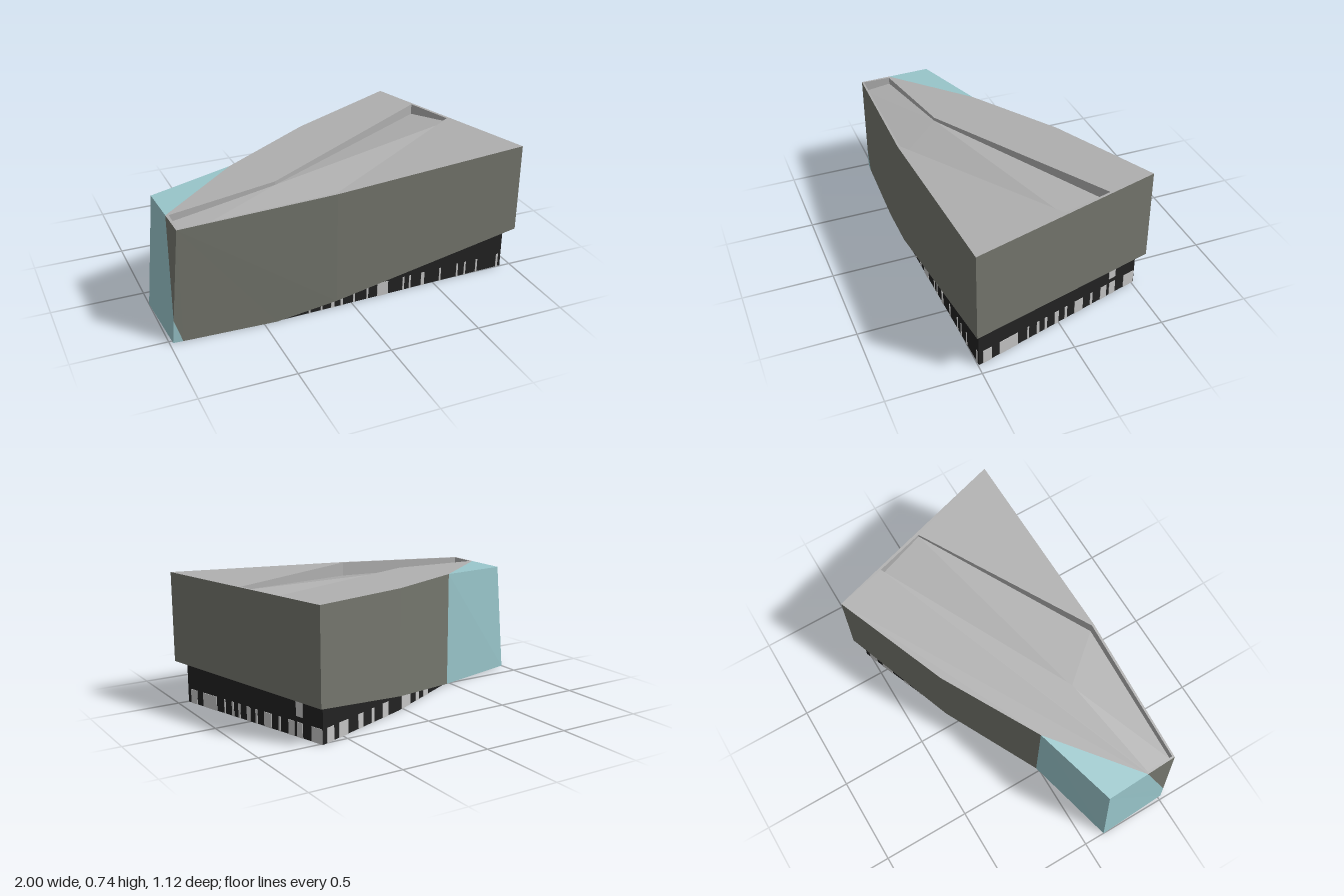
import * as THREE from 'three';

const paint = (name, color) => Object.assign(new THREE.MeshStandardMaterial({ color }), { name });

// Height rules for the sloping roof and the sloping soffit
const roofY = (x) => 0.687 + 0.053 * x;
const soffitY = (x, z) => Math.max(0, 0.167 * (x + 0.479 - 0.091 * z));
const onRoof = ([x, z]) => [x, roofY(x), z];
const onSoffit = ([x, z]) => [x, soffitY(x, z), z];
const onGround = ([x, z]) => [x, 0, z];

export function createModel() {
  const model = new THREE.Group();
  model.name = 'building';
  const cladding = paint('grey green cladding', 0x74766d);
  const roofGrey = paint('roof grey', 0xafafaf);
  const glass = paint('pale blue glass', 0x99c6cb);
  const black = paint('black base', 0x222222);
  const pale = paint('pale window', 0xc4c4c4);

  const add = (name, geometry, material) => {
    const mesh = new THREE.Mesh(geometry, material);
    mesh.name = name;
    model.add(mesh);
    return mesh;
  };

  // Flat polygon, corners counterclockwise as seen from outside
  const panel = (name, material, pts) => {
    const pos = [];
    for (let i = 1; i < pts.length - 1; i++) pos.push(...pts[0], ...pts[i], ...pts[i + 1]);
    const g = new THREE.BufferGeometry();
    g.setAttribute('position', new THREE.Float32BufferAttribute(pos, 3));
    g.computeVertexNormals();
    return add(name, g, material);
  };

  // Plan corners [x, z] of the upper volume
  const A = [-0.93, 0.53], B = [-0.1, 0.558], C = [1, 0.523];
  const D = [0.683, -0.56], E = [0.05, -0.305], F = [-0.48, -0.01];
  const G = [-0.945, 0.12], H = [-0.936, 0.36];
  // Leaning end: foot corners and the point where glass meets cladding
  const footBack = [-1, 0, 0.12], footFront = [-0.982, 0, 0.52];
  const cut = [-0.972, 0.13, 0.522], L = [-0.93, 0, 0.523], M = [-0.43, 0, 0.542];

  // Outer walls
  const wall = (name, material, p, q) =>
    panel(name, material, [onRoof(p), onSoffit(p), onSoffit(q), onRoof(q)]);
  panel('frontWallLow', cladding, [onRoof(A), cut, L, M, onSoffit(B), onRoof(B)]);
  wall('frontWallHigh', cladding, B, C);
  wall('sideWall', cladding, C, D);
  wall('backWallHigh', cladding, D, E);
  wall('backWallLow', cladding, E, F);
  panel('backGlass', glass, [onRoof(F), onSoffit(F), footBack, onRoof(G)]);
  panel('endGlass', glass, [onRoof(G), footBack, footFront, cut, onRoof(H)]);
  panel('endCladding', cladding, [onRoof(H), cut, onRoof(A)]);
  panel('cornerGlass', glass, [cut, footFront, L]);

  // Undersides
  panel('soffit', cladding, [M, onSoffit(B), onSoffit(C), onSoffit(D), onSoffit(E), onSoffit(F)].reverse());
  panel('endUnderside', cladding, [footFront, L, M, onGround(F), footBack].reverse());

  // Roof with a recessed terrace, [x, z, depth]
  const recess = [
    [-0.92, 0.52, 0.06], [-0.1, 0.545, 0.08], [0.83, 0, 0.02],
    [0.75, -0.28, 0.06], [-0.33, 0.275, 0.02], [-0.92, 0.365, 0.04],
  ];
  const flat = ([x, z]) => new THREE.Vector2(x, -z);
  const outline = new THREE.Shape([A, B, C, D, E, F, H].map(flat));
  outline.holes.push(new THREE.Path(recess.map(flat)));
  const roof = new THREE.ShapeGeometry(outline).rotateX(-Math.PI / 2);
  const rp = roof.attributes.position;
  for (let i = 0; i < rp.count; i++) rp.setY(i, roofY(rp.getX(i)));
  roof.computeVertexNormals();
  add('roof', roof, roofGrey);
  panel('roofGlass', glass, [F, G, H].map(onRoof));

  const sunk = ([x, z, d]) => [x, roofY(x) - d, z];
  panel('terraceFloor', roofGrey, [4, 5, 0, 1, 2, 3].map((i) => sunk(recess[i])));
  recess.forEach((p, i) => {
    const q = recess[(i + 1) % recess.length];
    panel('terraceWall', roofGrey, [onRoof(q), sunk(q), sunk(p), onRoof(p)]);
  });

  // Dark ground floor set back under the overhang
  const base = [[-0.43, 0.538], [0.94, 0.495], [0.65, -0.515], [0.04, -0.272], [-0.47, -0.002]];
  panel('baseUnderside', cladding, base.map(onGround).reverse());
  for (let i = 0; i < 4; i++) {
    const p = base[i], q = base[i + 1];
    panel('baseWall', black, [onSoffit(p), onGround(p), onGround(q), onSoffit(q)]);
  }

  // Window plates on a base wall; spans run along x (axis 0) or z (axis 1)
  const windows = (name, p, q, axis, spans, y0 = 0, y1 = 0.08) => {
    const dx = q[0] - p[0], dz = q[1] - p[1], length = Math.hypot(dx, dz);
    for (const [from, to] of spans) {
      const t0 = (from - p[axis]) / (q[axis] - p[axis]);
      const t1 = (to - p[axis]) / (q[axis] - p[axis]);
      const t = (t0 + t1) / 2, x = p[0] + dx * t, z = p[1] + dz * t;
      const top = Math.min(y1, soffitY(x, z) - 0.004);
      const plate = new THREE.BoxGeometry(Math.abs(t1 - t0) * length, top - y0, 0.006);
      const m = add(name, plate, pale);
      m.position.set(x, (y0 + top) / 2, z);
      m.rotation.y = -Math.atan2(dz, dx);
    }
  };
  windows('frontWindow', base[0], base[1], 0, [
    [-0.25, -0.24], [-0.18, -0.17], [-0.12, -0.1], [-0.065, -0.05], [0.01, 0.02], [0.09, 0.1],
    [0.155, 0.22], [0.31, 0.32], [0.35, 0.36], [0.425, 0.445], [0.54, 0.55],
    [0.65, 0.66], [0.7, 0.71], [0.775, 0.785], [0.91, 0.922],
  ]);
  windows('sideWindow', base[1], base[2], 1, [
    [0.47, 0.42], [0.37, 0.26], [0.2, 0.19], [0.14, 0.125], [0.09, 0.075], [0.025, 0],
    [-0.04, -0.055], [-0.105, -0.16], [-0.21, -0.225], [-0.28, -0.32], [-0.34, -0.38], [-0.44, -0.51],
  ]);
  windows('upperSideWindow', base[1], base[2], 1, [[-0.335, -0.378]], 0.11, 0.188);
  windows('backWindow', base[2], base[3], 0, [
    [0.62, 0.57], [0.53, 0.46], [0.38, 0.34], [0.27, 0.25], [0.18, 0.13],
  ]);
  windows('lowBackWindow', base[3], base[4], 0, [[0.01, -0.08], [-0.14, -0.17], [-0.22, -0.27]]);

  return model;
}
